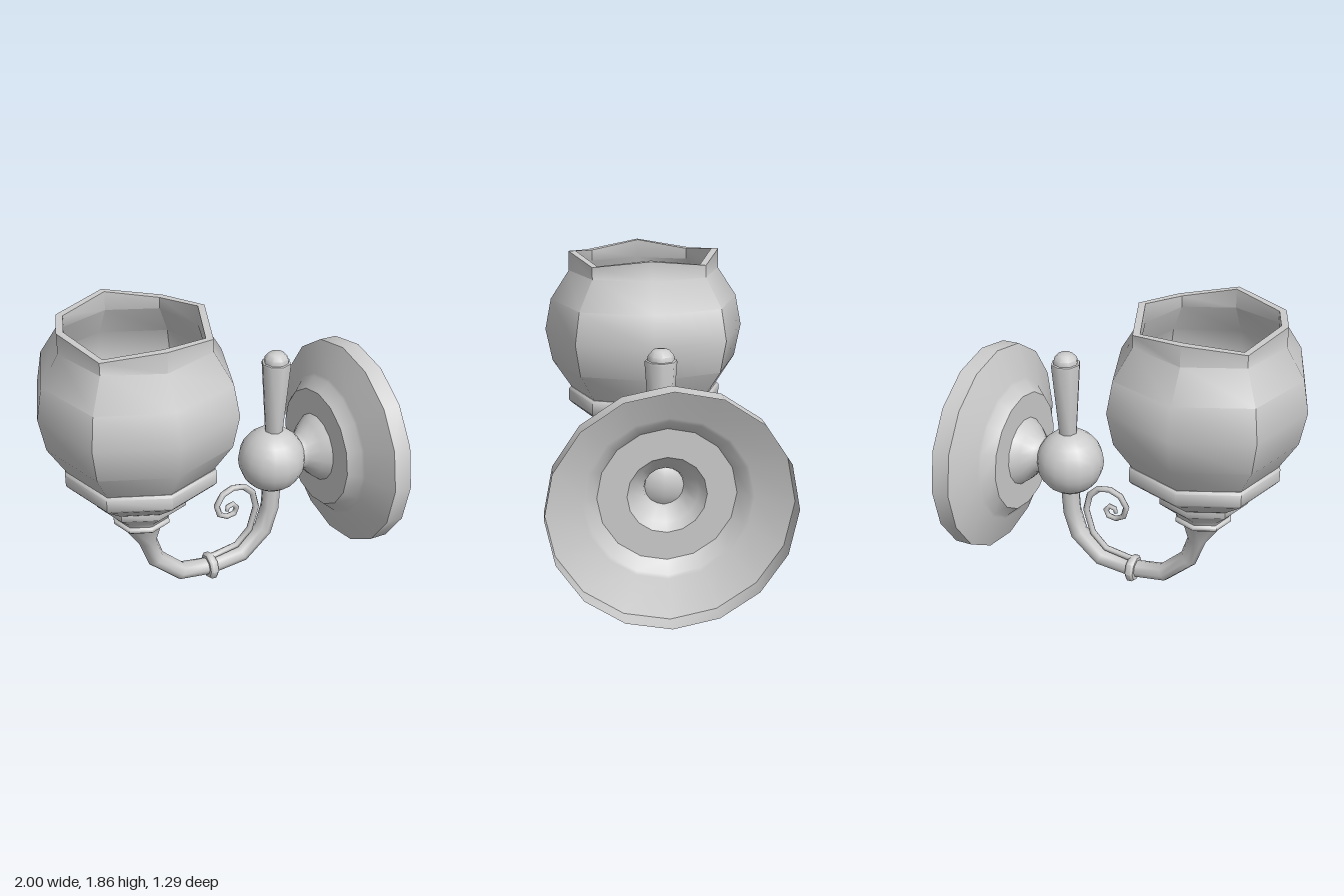
import * as THREE from 'three';
import { toCreasedNormals } from 'three/addons/utils/BufferGeometryUtils.js';

const material = new THREE.MeshStandardMaterial({ color: 0xcccccc, side: THREE.DoubleSide });

function lathe(profile, sides) {
  return new THREE.LatheGeometry(profile.map(([r, h]) => new THREE.Vector2(r, h)), sides);
}

// Slightly stretched octagon; anything above waveY dips at the diagonals
function squeeze(geometry, waveY = Infinity) {
  const p = geometry.attributes.position;
  for (let i = 0; i < p.count; i++) {
    const x = p.getX(i), y = p.getY(i), z = p.getZ(i);
    const d = Math.abs(Math.sin(2 * Math.atan2(z, x)));
    p.setXYZ(i, x * (1 + 0.055 * d), y > waveY ? y - 0.045 * d : y, z * (1.07 + 0.03 * d));
  }
  return geometry;
}

// Tube along points [x, y, radius] in the z = 0 plane
function sweep(points, sides) {
  const positions = [], index = [];
  points.forEach(([x, y, r], i) => {
    const a = points[Math.max(i - 1, 0)], b = points[Math.min(i + 1, points.length - 1)];
    const length = Math.hypot(b[0] - a[0], b[1] - a[1]);
    const tx = (b[0] - a[0]) / length, ty = (b[1] - a[1]) / length;
    for (let j = 0; j < sides; j++) {
      const t = (j / sides) * Math.PI * 2, n = r * Math.cos(t);
      positions.push(x - ty * n, y + tx * n, r * Math.sin(t));
      if (i === points.length - 1) continue;
      const k = (j + 1) % sides, p = i * sides, q = p + sides;
      index.push(p + j, p + k, q + j, p + k, q + k, q + j);
    }
  });
  const geometry = new THREE.BufferGeometry();
  geometry.setAttribute('position', new THREE.Float32BufferAttribute(positions, 3));
  geometry.setIndex(index);
  geometry.computeVertexNormals();
  return geometry;
}

export function createModel() {
  const group = new THREE.Group();
  const add = (name, geometry, x = 0, y = 0) => {
    const mesh = new THREE.Mesh(geometry, material);
    mesh.name = name;
    mesh.position.set(x, y, 0);
    group.add(mesh);
  };
  const crease = (geometry, angle = 0.85) => toCreasedNormals(geometry, angle);

  // Hollow shade with a wavy lip: up the outside, down the inside
  const shade = lathe([
    [0, 0.96], [0.41, 1.0], [0.525, 1.19], [0.56, 1.385], [0.525, 1.57], [0.42, 1.74],
    [0.42, 1.855], [0.38, 1.855], [0.38, 1.745], [0.49, 1.56], [0.525, 1.385],
    [0.49, 1.2], [0.38, 1.03], [0, 0.99],
  ], 8);
  add('shade', crease(squeeze(shade, 1.8)), -0.44);

  // Stepped cup holding the shade
  const cup = lathe([
    [0, 0.585], [0.155, 0.585], [0.168, 0.597], [0.168, 0.613], [0.155, 0.625], [0.165, 0.65],
    [0.25, 0.73], [0.265, 0.745], [0.265, 0.785], [0.285, 0.8], [0.42, 0.915],
    [0.437, 0.935], [0.437, 1.005], [0.425, 1.02], [0.39, 1.02], [0.36, 0.97],
  ], 8);
  add('shadeCup', crease(squeeze(cup)), -0.437);

  // Curved arm, flaring under the cup
  add('arm', sweep([
    [0.44, 0.62, 0.058], [0.437, 0.55, 0.058], [0.43, 0.41, 0.058], [0.385, 0.255, 0.058],
    [0.235, 0.112, 0.056], [0.015, 0.085, 0.054], [-0.19, 0.115, 0.056],
    [-0.35, 0.265, 0.056], [-0.4, 0.415, 0.056], [-0.43, 0.59, 0.135],
  ], 8));

  // Collar binding the scroll to the arm
  const collar = lathe([
    [0.05, -0.026], [0.075, -0.026], [0.086, -0.014], [0.086, 0.014], [0.075, 0.026], [0.05, 0.026],
  ], 8).rotateZ(-Math.PI / 2);
  add('collar', crease(collar), 0.015, 0.086);

  // Decorative scroll
  add('scroll', sweep([
    [0.01, 0.15, 0.02], [0.2, 0.185, 0.02], [0.29, 0.28, 0.021], [0.332, 0.44, 0.021],
    [0.305, 0.55, 0.021], [0.245, 0.607, 0.021], [0.17, 0.62, 0.02], [0.1, 0.59, 0.02],
    [0.06, 0.52, 0.02], [0.08, 0.45, 0.019], [0.13, 0.423, 0.018], [0.18, 0.432, 0.018],
    [0.197, 0.47, 0.017], [0.17, 0.502, 0.017], [0.135, 0.492, 0.016], [0.131, 0.465, 0.014],
    [0.133, 0.462, 0],
  ], 6));

  // Ball joint and the finial above it
  add('ball', new THREE.SphereGeometry(0.205, 16, 12), 0.432, 0.762);
  const finial = lathe([
    [0.053, 0.93], [0.088, 1.4], [0.086, 1.412], [0.074, 1.414], [0.07, 1.44],
    [0.045, 1.468], [0, 1.476],
  ], 8);
  add('finial', crease(finial), 0.44);

  // Hollow wall plate, open at the back
  const plate = lathe([
    [0.105, 0.6], [0.115, 0.635], [0.175, 0.69], [0.212, 0.74], [0.37, 0.74],
    [0.43, 0.805], [0.45, 0.812], [0.645, 0.892], [0.645, 1],
  ], 16).rotateZ(-Math.PI / 2);
  add('wallPlate', crease(plate, 0.8), 0, 0.762);

  return group;
}
